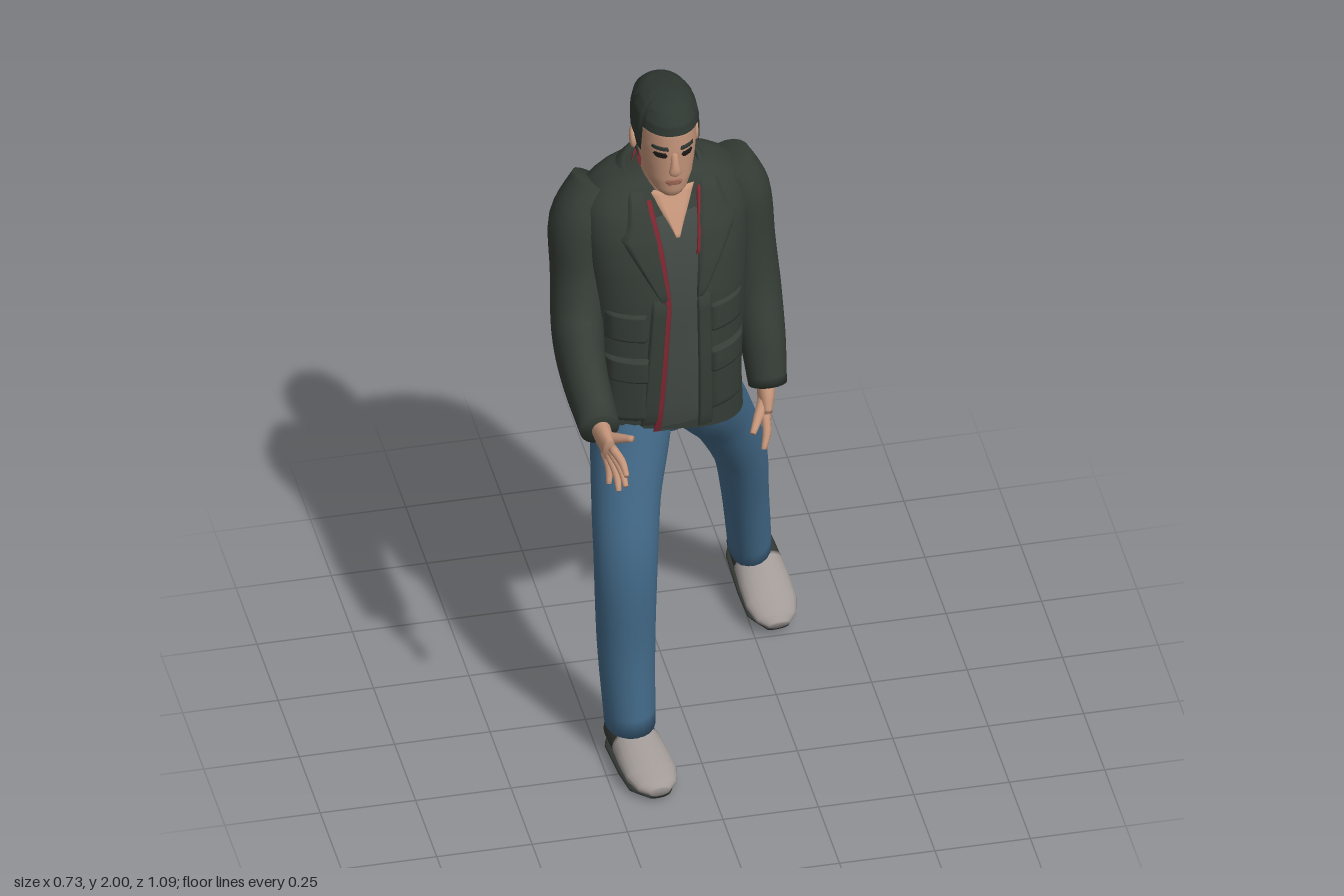
import * as THREE from 'three';
import { mergeVertices } from 'three/addons/utils/BufferGeometryUtils.js';

const mat = (name, color, side = THREE.FrontSide) => {
  const m = new THREE.MeshStandardMaterial({ color, side });
  m.name = name;
  return m;
};

// Smooth surface from a rule fn(u, v) -> [x, y, z]
function grid(nu, nv, fn) {
  const pos = [], idx = [];
  for (let j = 0; j <= nv; j++) for (let i = 0; i <= nu; i++) pos.push(...fn(i / nu, j / nv));
  for (let j = 0; j < nv; j++) for (let i = 0; i < nu; i++) {
    const a = j * (nu + 1) + i, b = a + 1, c = b + nu + 1, d = a + nu + 1;
    idx.push(a, b, c, a, c, d);
  }
  let g = new THREE.BufferGeometry();
  g.setAttribute('position', new THREE.Float32BufferAttribute(pos, 3));
  g.setIndex(idx);
  g = mergeVertices(g, 1e-5);
  g.computeVertexNormals();
  return g;
}

// Linear interpolation in rows sorted by their first value
function at(rows, y) {
  let i = 0;
  while (i < rows.length - 2 && y > rows[i + 1][0]) i++;
  const t = THREE.MathUtils.clamp((y - rows[i][0]) / (rows[i + 1][0] - rows[i][0]), 0, 1);
  return rows[i].map((v, k) => v + (rows[i + 1][k] - v) * t);
}

// Capped tube through [x, y, z, halfWidth, halfDepth]
function tube(pts, sides = 20, steps = 24) {
  const curve = new THREE.CatmullRomCurve3(pts.map(p => new THREE.Vector3(p[0], p[1], p[2])), false, 'centripetal');
  const n = pts.length - 1;
  const radii = pts.map((p, i) => [i / n, p[3], p[4]]);
  return grid(sides, steps + 2, (u, v) => {
    const k = Math.round(v * (steps + 2)), end = k === 0 || k === steps + 2;
    const w = THREE.MathUtils.clamp((k - 1) / steps, 0, 1), a = (u === 1 ? 0 : u) * Math.PI * 2;
    const c = curve.getPoint(w), t = curve.getTangent(w);
    const s = new THREE.Vector3(1, 0, 0).addScaledVector(t, -t.x).normalize();
    const o = new THREE.Vector3().crossVectors(t, s);
    const [, r1, r2] = at(radii, w);
    if (!end) c.addScaledVector(s, r1 * Math.cos(a)).addScaledVector(o, r2 * Math.sin(a));
    return c.toArray();
  });
}

// Upright body from rows [y, cx, cz, rx, rz, skew]
function body(rows, p) {
  const pw = c => Math.sign(c) * Math.abs(c) ** (2 / p);
  return {
    point(a, y, grow = 1) {
      const [, cx, cz, rx, rz, k] = at(rows, y), dx = rx * grow * pw(Math.cos(a));
      return [cx + dx, y, cz - rz * grow * pw(Math.sin(a)) - k * dx];
    },
    front(x, y, off) {
      const [, cx, cz, rx, rz, k] = at(rows, y), q = Math.min(Math.abs((x - cx) / rx), 0.995);
      return [x, y, cz + rz * (1 - q ** p) ** (1 / p) - k * (x - cx) + off];
    },
  };
}

// Thin plate on the front of a body, rows [y, xLow, xHigh], edges sunk in
const panel = (b, rows, off) => grid(10, 16, (u, v) => {
  const y = rows[0][0] + (rows[rows.length - 1][0] - rows[0][0]) * v;
  const [, x0, x1] = at(rows, y), edge = u === 0 || u === 1 || v === 0 || v === 1;
  return b.front(x0 + (x1 - x0) * u, y, edge ? -0.003 : off);
});

export function createModel() {
  const D = THREE.DoubleSide;
  const cloth = mat('jacket green', 0x353d36, D), jeans = mat('denim blue', 0x436a89),
    skin = mat('skin', 0xc4957a, D), hairM = mat('hair', 0x2f3731, D), shoeM = mat('shoe grey', 0xa19a97),
    soleM = mat('sole dark', 0x343a35), red = mat('collar red', 0x7c2630, D),
    shirt = mat('shirt grey', 0x414843, D), dark = mat('eye dark', 0x1b1a19, D), lip = mat('lips', 0xa06a59, D);
  const root = new THREE.Group();
  root.name = 'walkingMan';
  const add = (name, geo, m, parent = root) => {
    const mesh = new THREE.Mesh(geo, m);
    mesh.name = name;
    parent.add(mesh);
    return mesh;
  };

  // Jacket
  const torso = body([
    [1.0, -0.055, -0.005, 0.215, 0.158, 0.05], [1.1, -0.05, -0.005, 0.205, 0.165, 0.05],
    [1.2, -0.045, -0.01, 0.205, 0.172, 0.06], [1.4, -0.04, -0.03, 0.215, 0.184, 0.08],
    [1.5, -0.04, -0.038, 0.222, 0.176, 0.1], [1.58, -0.04, -0.047, 0.225, 0.163, 0.12],
    [1.64, -0.042, -0.053, 0.215, 0.14, 0.14], [1.68, -0.043, -0.05, 0.185, 0.115, 0.12],
    [1.715, -0.045, -0.04, 0.13, 0.09, 0.08], [1.735, -0.048, -0.02, 0.06, 0.06, 0]], 2.5);
  add('jacketBody', grid(48, 32, (u, v) => {
    const y = 1.0 + 0.735 * v, q = torso.point(u === 1 ? 0 : u * Math.PI * 2, y);
    q[1] -= Math.max(0, (1.15 - y) / 0.15) * 0.16 * (q[0] + 0.03);
    return q;
  }), cloth);

  // Sleeves
  add('rightSleeve', tube([[-0.2, 1.655, -0.06, 0.075, 0.08], [-0.255, 1.57, -0.035, 0.08, 0.095],
    [-0.265, 1.42, -0.005, 0.075, 0.092], [-0.285, 1.29, 0.07, 0.068, 0.09],
    [-0.298, 1.25, 0.2, 0.06, 0.085], [-0.295, 1.2, 0.375, 0.052, 0.058]]), cloth);
  add('leftSleeve', tube([[0.13, 1.655, -0.08, 0.075, 0.08], [0.172, 1.57, -0.08, 0.077, 0.09],
    [0.187, 1.42, -0.075, 0.075, 0.085], [0.203, 1.28, -0.055, 0.07, 0.08],
    [0.213, 1.15, 0, 0.06, 0.07], [0.217, 1.03, 0.045, 0.05, 0.055]]), cloth);

  // Shirt strip, red edges and open neck
  const on = (name, rows, off, m) => add(name, panel(torso, rows, off), m);
  on('shirtFront', [[1.0, -0.1, 0.02], [1.4, -0.07, 0.015], [1.55, -0.09, 0.025], [1.66, -0.11, 0.05]], 0.003, shirt);
  on('rightRedEdge', [[1.0, -0.105, -0.085], [1.4, -0.075, -0.057], [1.55, -0.093, -0.072], [1.69, -0.125, -0.095]], 0.006, red);
  on('leftRedEdge', [[1.52, 0.012, 0.025], [1.69, 0.03, 0.055]], 0.006, red);
  on('neckOpening', [[1.575, -0.036, -0.03], [1.7, -0.1, 0.03]], 0.006, skin);

  // Plackets, lapels and pockets
  on('rightPlacket', [[1.02, -0.14, -0.095], [1.42, -0.11, -0.066]], 0.008, cloth);
  on('leftPlacket', [[0.99, 0.012, 0.055], [1.42, 0.008, 0.05]], 0.008, cloth);
  on('rightLapel', [[1.4, -0.08, -0.066], [1.59, -0.185, -0.085], [1.61, -0.165, -0.09], [1.7, -0.15, -0.11]], 0.009, cloth);
  on('leftLapel', [[1.4, 0.008, 0.02], [1.59, 0.14, 0.02], [1.61, 0.12, 0.022], [1.7, 0.085, 0.04]].map(
    ([y, a, b]) => [y, Math.min(a, b), Math.max(a, b)]), 0.009, cloth);
  for (const [side, x0, x1] of [['right', -0.225, -0.12], ['left', 0.045, 0.145]]) {
    on(side + 'ChestPocket', [[1.29, x0, x1], [1.375, x0, x1]], 0.01, cloth);
    on(side + 'LowerPocket', [[1.04, x0, x1], [1.21, x0, x1]], 0.01, cloth);
    on(side + 'PocketFlap', [[1.17, x0 - 0.004, x1 + 0.004], [1.24, x0 - 0.004, x1 + 0.004]], 0.018, cloth);
  }

  // Folded collars, rows [v, radius, y]
  const collar = (rows, span) => grid(32, 8, (u, v) => {
    const f = (u * 2 - 1) * span, [, r, y] = at(rows, v);
    return [-0.046 + r * Math.sin(f), y - 0.012 * f * f, -0.02 - r * 0.88 * Math.cos(f)];
  });
  add('jacketCollar', collar([[0, 0.082, 1.69], [0.4, 0.092, 1.762], [0.55, 0.1, 1.76], [1, 0.145, 1.705]], 2.25), cloth);
  add('shirtCollar', collar([[0, 0.07, 1.69], [0.5, 0.076, 1.757], [1, 0.088, 1.72]], 2.5), red);

  // Neck and head
  add('neck', tube([[-0.046, 1.62, -0.01, 0.066, 0.075], [-0.046, 1.7, 0.005, 0.06, 0.066],
    [-0.047, 1.8, 0.025, 0.058, 0.07]]), skin);
  const X = -0.048;
  const head = body([[1.712, X, 0.095, 0, 0, 0], [1.72, X, 0.092, 0.028, 0.034, 0], [1.74, X, 0.075, 0.046, 0.06, 0],
    [1.775, X, 0.055, 0.062, 0.085, 0], [1.82, X, 0.035, 0.072, 0.108, 0], [1.87, X, 0.027, 0.077, 0.119, 0],
    [1.92, X, 0.025, 0.077, 0.119, 0], [1.95, X, 0.025, 0.071, 0.112, 0], [1.975, X, 0.025, 0.056, 0.088, 0],
    [1.988, X, 0.025, 0.036, 0.058, 0], [1.994, X, 0.025, 0, 0, 0]], 2.15);
  add('head', grid(36, 40, (u, v) => head.point(u === 1 ? 0 : u * Math.PI * 2, 1.712 + 0.282 * v)), skin);
  add('hair', grid(60, 24, (u, v) => {
    const a = u === 1 ? 0 : u * Math.PI * 2, s = Math.sin(a);
    const low = s < -0.5 ? 1.928 : s < -0.2 ? 1.85 : s < 0.2 ? 1.875 : 1.785;
    const q = head.point(a, low + (1.994 - low) * v, 1.1);
    q[1] += 0.006 * v;
    return q;
  }), hairM);

  // Face details
  add('nose', tube([[X, 1.868, 0.138, 0.009, 0.008], [X, 1.835, 0.147, 0.011, 0.012],
    [X, 1.812, 0.149, 0.017, 0.012], [X, 1.803, 0.143, 0.012, 0.008]], 12, 10), skin);
  add('lips', panel(head, [[1.766, X - 0.018, X + 0.018], [1.774, X - 0.026, X + 0.026], [1.783, X - 0.016, X + 0.016]], 0.004), lip);
  for (const [side, s] of [['right', -1], ['left', 1]]) {
    const c = X + s * 0.035;
    add(side + 'Eye', panel(head, [[1.853, c - 0.012, c + 0.012], [1.861, c - 0.019, c + 0.019], [1.869, c - 0.013, c + 0.013]], 0.003), dark);
    add(side + 'Brow', panel(head, [[1.878, c - 0.022, c + 0.022], [1.888, c - 0.019, c + 0.019]], 0.005), hairM);
    const ear = add(side + 'Ear', new THREE.SphereGeometry(1, 14, 10), skin);
    ear.scale.set(0.011, 0.032, 0.019);
    ear.position.set(X + s * 0.08, 1.842, 0.012);
    ear.rotation.set(-0.2, s * 0.3, 0);
  }

  // Hands: wrist, knuckles, finger tips, thumb
  const hand = (name, wrist, knuckle, tips, thumb) => {
    const g = new THREE.Group();
    g.name = name;
    root.add(g);
    const mid = wrist.map((w, k) => (w + knuckle[k]) / 2);
    add('palm', tube([[...wrist, 0.026, 0.028], [...mid, 0.022, 0.038], [...knuckle, 0.016, 0.04]], 14, 10), skin, g);
    const mean = [0, 1, 2].map(k => tips.reduce((s, t) => s + t[k], 0) / tips.length);
    for (const tip of tips) {
      const base = knuckle.map((v, k) => v + (tip[k] - mean[k]) * 0.42);
      const bend = base.map((v, k) => v + (tip[k] - v) * 0.5 + (k === 0 ? 0.006 : 0));
      add('finger', tube([[...base, 0.012, 0.012], [...bend, 0.011, 0.011], [...tip, 0.007, 0.007]], 10, 8), skin, g);
    }
    const joint = mid.map((v, k) => v + (thumb[k] - v) * 0.55);
    add('thumb', tube([[...mid, 0.017, 0.018], [...joint, 0.013, 0.013], [...thumb, 0.008, 0.008]], 10, 8), skin, g);
  };
  hand('rightHand', [-0.293, 1.2, 0.355], [-0.285, 1.175, 0.445],
    [[-0.262, 1.165, 0.545], [-0.262, 1.125, 0.535], [-0.275, 1.095, 0.51], [-0.29, 1.085, 0.46]], [-0.23, 1.225, 0.47]);
  hand('leftHand', [0.215, 1.045, 0.04], [0.205, 0.965, 0.075],
    [[0.185, 0.895, 0.145], [0.195, 0.872, 0.11], [0.205, 0.87, 0.065], [0.212, 0.89, 0.025]], [0.158, 0.945, 0.14]);

  // Jeans
  add('pelvis', tube([[-0.045, 1.12, -0.02, 0.18, 0.14], [-0.045, 1.0, -0.01, 0.155, 0.13], [-0.05, 0.925, 0, 0.06, 0.07]]), jeans);
  add('rightLeg', tube([[-0.14, 1.08, 0, 0.11, 0.13], [-0.145, 0.95, 0.05, 0.105, 0.12], [-0.17, 0.8, 0.12, 0.09, 0.093],
    [-0.182, 0.63, 0.17, 0.083, 0.08], [-0.178, 0.35, 0.155, 0.075, 0.083], [-0.17, 0.105, 0.163, 0.065, 0.085]]), jeans);
  add('leftLeg', tube([[0.04, 1.08, -0.03, 0.11, 0.125], [0.07, 0.95, -0.075, 0.105, 0.115], [0.14, 0.8, -0.165, 0.085, 0.088],
    [0.213, 0.6, -0.27, 0.07, 0.077], [0.247, 0.4, -0.36, 0.061, 0.078], [0.277, 0.165, -0.44, 0.056, 0.077]]), jeans);

  // Shoes, heel at the local origin and toe along +z
  const shoe = (name, pos, pitch, yaw) => {
    const g = new THREE.Group();
    g.name = name;
    g.position.set(...pos);
    g.rotation.set(pitch, yaw, 0, 'YXZ');
    root.add(g);
    add('heel', tube([[0, 0.055, 0.003, 0.035, 0.045], [0, 0.06, 0.035, 0.056, 0.056], [0, 0.062, 0.08, 0.06, 0.058],
      [0, 0.06, 0.125, 0.062, 0.055]]), soleM, g);
    add('toe', tube([[0, 0.062, 0.12, 0.063, 0.054], [0, 0.053, 0.18, 0.068, 0.044], [0, 0.043, 0.24, 0.068, 0.034],
      [0, 0.035, 0.285, 0.053, 0.024], [0, 0.03, 0.308, 0.026, 0.014]]), shoeM, g);
    add('sole', tube([[0, 0.014, 0.004, 0.035, 0.012], [0, 0.014, 0.05, 0.058, 0.014], [0, 0.014, 0.17, 0.066, 0.014],
      [0, 0.014, 0.25, 0.064, 0.013], [0, 0.018, 0.302, 0.03, 0.009]]), soleM, g);
  };
  shoe('rightShoe', [-0.18, 0.005, 0.085], 0, 0.13);
  shoe('leftShoe', [0.278, 0.1, -0.548], 0.3, 0.11);
  return root;
}
